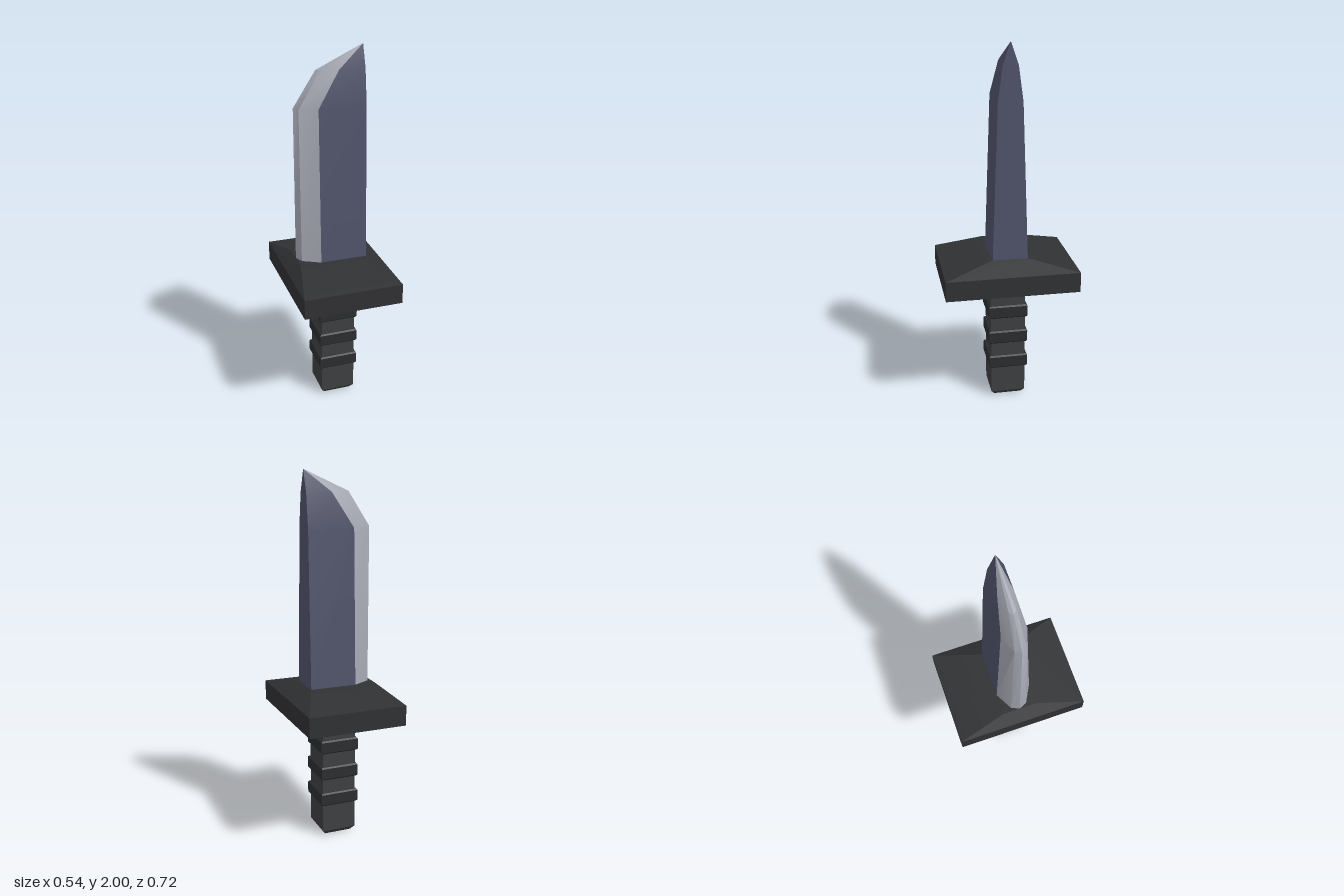
import * as THREE from 'three';
import { toCreasedNormals } from 'three/addons/utils/BufferGeometryUtils.js';

const paint = (color) => new THREE.MeshStandardMaterial({ color });

// Skin a stack of cross-sections (each counter-clockwise from above)
function loft(name, rings, color, closed, crease = 0.3) {
  const n = rings[0].length;
  const index = [];
  for (let r = 0; r < rings.length - 1; r++) {
    for (let i = 0; i < (closed ? n : n - 1); i++) {
      const a = r * n + i, b = r * n + (i + 1) % n;
      index.push(a, b, b + n, a, b + n, a + n);
    }
  }
  if (closed) {
    const top = (rings.length - 1) * n;
    for (let i = 1; i < n - 1; i++) index.push(0, i + 1, i, top, top + i, top + i + 1);
  }
  const geo = new THREE.BufferGeometry();
  geo.setAttribute('position', new THREE.Float32BufferAttribute(rings.flat(2), 3));
  geo.setIndex(index);
  const mesh = new THREE.Mesh(toCreasedNormals(geo, crease), paint(color));
  mesh.name = name;
  return mesh;
}

// Rectangular cross-section at height y
const rect = (y, x0, x1, z) => [[x1, y, z], [x1, y, -z], [x0, y, -z], [x0, y, z]];
const square = (y, h) => rect(y, -h, h, h);

export function createModel() {
  const group = new THREE.Group();

  // Blade levels: height, shoulder x, shoulder y, cutting edge x, half thickness
  const spineX = 0.16;
  const levels = [
    { y: 0.855, shoulder: -0.095, edge: -0.21, h: 0.095 },
    { y: 1.7, shoulder: -0.095, edge: -0.21, h: 0.065 },
    { y: 1.885, shoulder: 0.02, edge: -0.09, h: 0.04 },
    { y: 2, shoulder: spineX, edge: spineX, h: 0 },
  ];
  // Dark body with flat spine
  group.add(loft('bladeBody', levels.map(({ y, shoulder, h }) => [
    [shoulder, y, h], [spineX, y, h], [spineX, y, -h], [shoulder, y, -h],
  ]), 0x50536a, false));
  // Pale ground edge
  group.add(loft('bladeEdge', levels.map(({ y, shoulder, edge, h }) => {
    const mid = edge + (shoulder - edge) * 0.18;
    return [[shoulder, y, -h], [mid, y, -h * 0.47], [edge, y, 0], [mid, y, h * 0.47], [shoulder, y, h]];
  }), 0xa6a8b3, false, 0.55));

  // Wide crossguard, tapering to the grip below and the blade above
  group.add(loft('guard', [
    square(0.64, 0.095),
    rect(0.69, -0.27, 0.27, 0.36),
    rect(0.8, -0.27, 0.27, 0.36),
    rect(0.86, -0.21, 0.16, 0.095),
  ], 0x303133, true));

  // Square grip with chamfered butt
  group.add(loft('grip', [square(0, 0.075), square(0.025, 0.095), square(0.65, 0.095)], 0x3e3f42, true));

  // Raised grip bands
  [0.18, 0.333, 0.486].forEach((y, i) => {
    group.add(loft('gripBand' + (i + 1), [
      square(y, 0.1), square(y + 0.008, 0.107), square(y + 0.067, 0.107), square(y + 0.075, 0.1),
    ], 0x2c2d2f, true));
  });

  return group;
}
